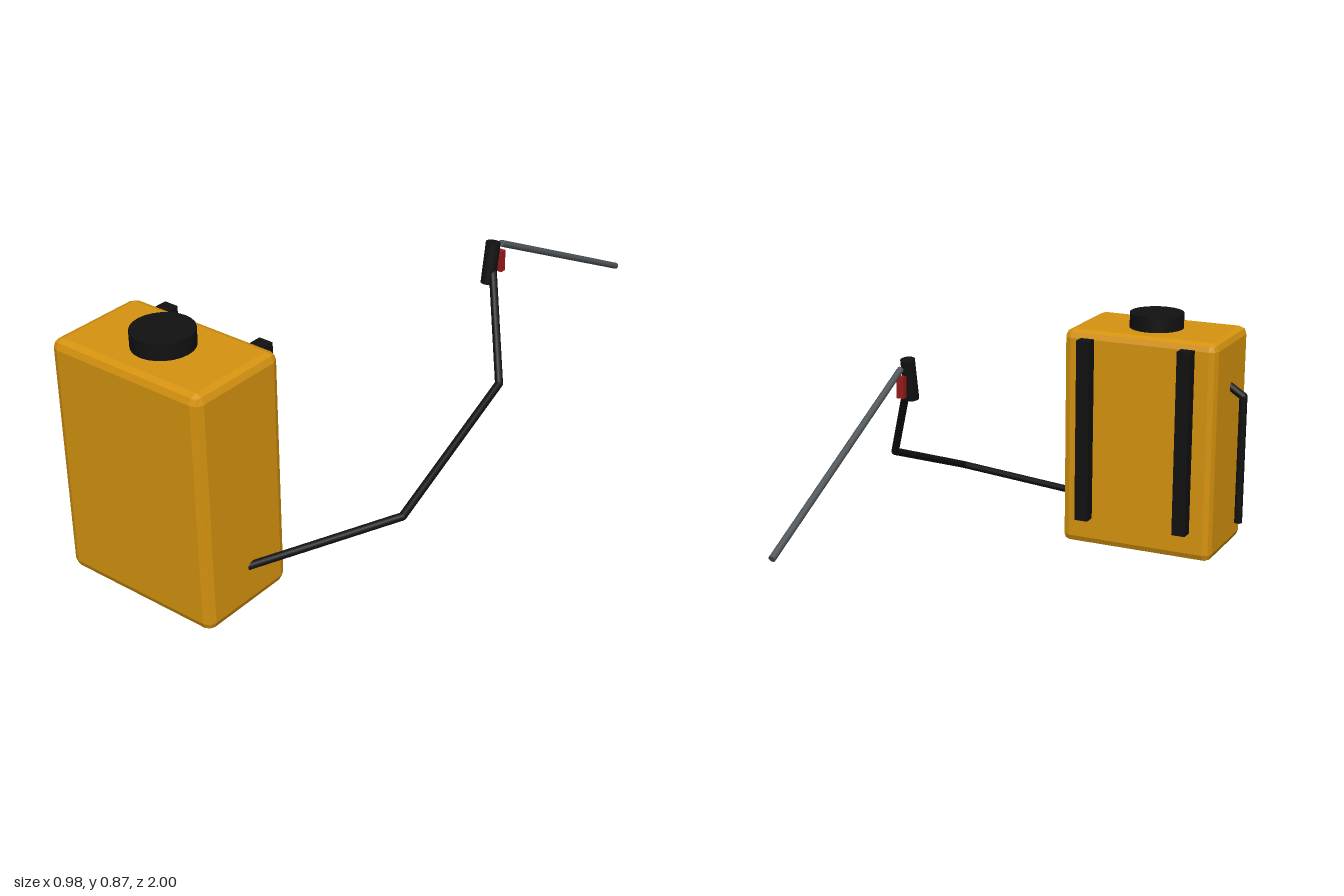
import * as THREE from 'three';
import { RoundedBoxGeometry } from 'three/addons/geometries/RoundedBoxGeometry.js';

const V = (x, y, z) => new THREE.Vector3(x, y, z);

function material(name, color, flatShading = false) {
  const m = new THREE.MeshStandardMaterial({ color, flatShading });
  m.name = name;
  return m;
}

function add(parent, name, geometry, mat, x = 0, y = 0, z = 0) {
  const mesh = new THREE.Mesh(geometry, mat);
  mesh.name = name;
  mesh.position.set(x, y, z);
  parent.add(mesh);
  return mesh;
}

// Straight round bar between two points
function bar(parent, name, a, b, radius, mat, sides = 12) {
  const dir = b.clone().sub(a);
  const mid = a.clone().add(b).multiplyScalar(0.5);
  const mesh = add(parent, name, new THREE.CylinderGeometry(radius, radius, dir.length(), sides), mat, mid.x, mid.y, mid.z);
  mesh.quaternion.setFromUnitVectors(V(0, 1, 0), dir.normalize());
  return mesh;
}

// Chain of bars with round joints at the bends
function bentBar(parent, name, points, radius, mat) {
  const group = new THREE.Group();
  group.name = name;
  for (let i = 0; i < points.length - 1; i++) {
    bar(group, name + 'Segment', points[i], points[i + 1], radius, mat);
    if (i > 0) add(group, name + 'Joint', new THREE.SphereGeometry(radius, 12, 8), mat, ...points[i].toArray());
  }
  parent.add(group);
}

export function createModel() {
  const model = new THREE.Group();
  model.name = 'backpackSprayer';

  const amber = material('amber plastic', 0xd6930f, true);
  const black = material('black rubber', 0x111111);
  const steel = material('grey steel', 0x50565a);
  const red = material('red trigger', 0x991a1a);

  // Tank with narrow two-step rounded edges, and its filler cap
  const tx = -0.143, tz = 0.823;
  add(model, 'tank', new RoundedBoxGeometry(0.572, 0.797, 0.348, 1, 0.028), amber, tx, 0.3985, tz);
  add(model, 'cap', new THREE.CylinderGeometry(0.097, 0.097, 0.06, 24), black, tx, 0.821, tz);

  // Shoulder straps behind the tank
  for (const side of [-1, 1]) {
    add(model, 'strap', new THREE.BoxGeometry(0.05, 0.665, 0.043), black, tx + side * 0.187, 0.4425, 0.616);
  }

  // Pump lever on the right side
  bentBar(model, 'pumpLever', [V(-0.42, 0.615, tz), V(-0.475, 0.58, tz), V(-0.475, 0.11, tz)], 0.0145, black);

  // Hose from the tank to the spray handle
  bentBar(model, 'hose', [
    V(0.135, 0.138, 0.813), V(0.475, 0.29, 0.508), V(0.455, 0.49, -0.018), V(0.305, 0.785, -0.188),
  ], 0.0125, black);

  // Spray handle, trigger and lance
  const handle = add(model, 'handle', new THREE.CylinderGeometry(0.0235, 0.0235, 0.135, 16), black, 0.3, 0.796, -0.184);
  handle.rotation.x = -0.17;
  add(model, 'trigger', new THREE.BoxGeometry(0.025, 0.07, 0.02), red, 0.3, 0.783, -0.238);
  bar(model, 'lance', V(0.3, 0.841, -0.24), V(0.3, 0.467, -0.994), 0.0108, steel);

  return model;
}
